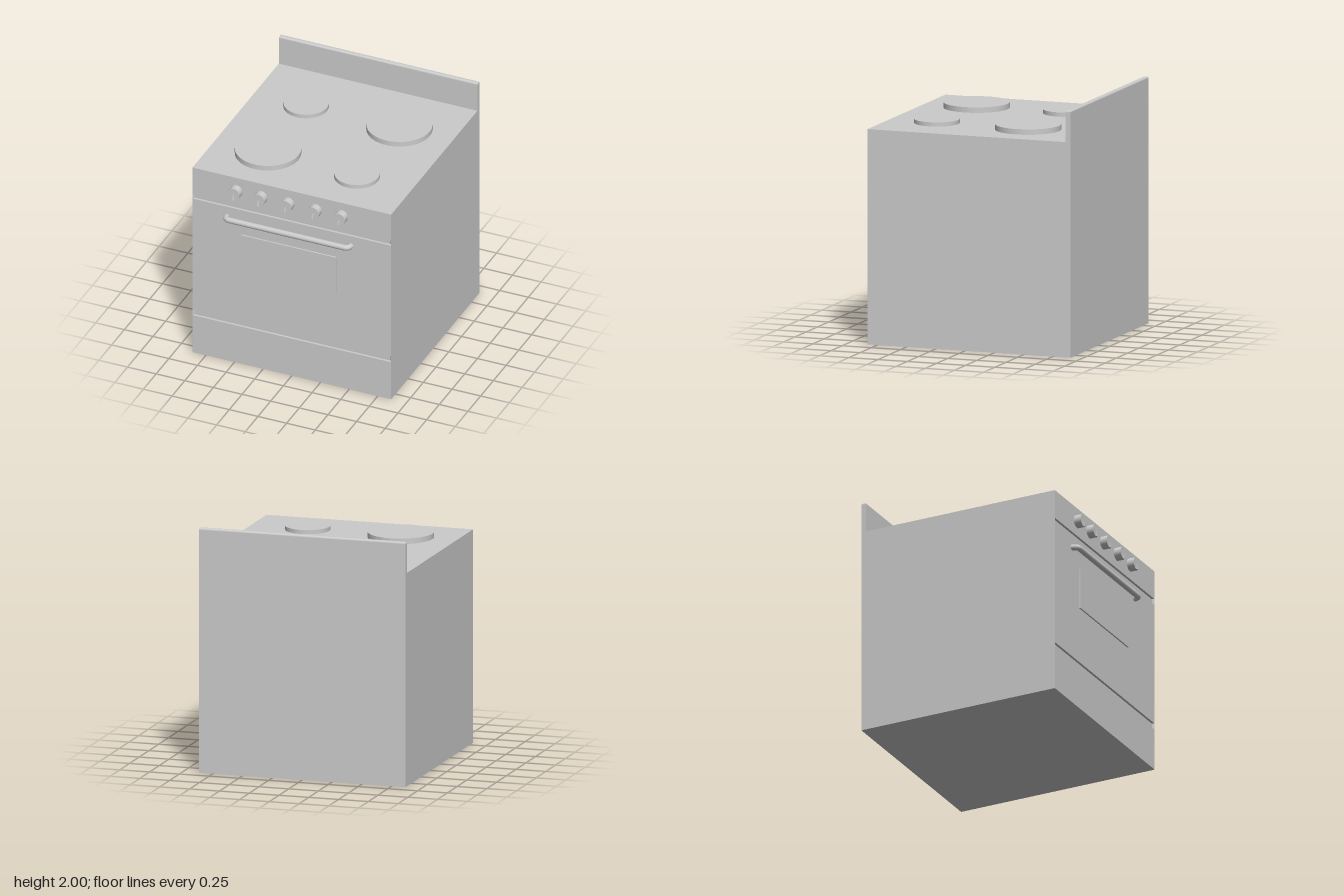
import * as THREE from 'three';

export function createModel() {
  const group = new THREE.Group();
  const material = new THREE.MeshStandardMaterial({ color: 0xcccccc });
  const HALF = 0.867, FRONT = 0.835, BACK = -0.903, TOP = 1.743;
  const GROOVES = [[0.35, 0.405], [1.45, 1.5]], DEPTH = 0.02;

  const add = (name, geometry, x = 0, y = 0, z = 0, parent = group) => {
    const mesh = new THREE.Mesh(geometry, material);
    mesh.name = name;
    mesh.position.set(x, y, z);
    parent.add(mesh);
    return mesh;
  };
  const polygon = (points) => new THREE.Shape(points.map(([x, y]) => new THREE.Vector2(x, y)));
  // extrudes a (z, y) outline across x, centred
  const extrudeAcross = (points, width) =>
    new THREE.ExtrudeGeometry(polygon(points), { depth: width, bevelEnabled: false })
      .rotateY(-Math.PI / 2).translate(width / 2, 0, 0);

  // body: side outline with two grooves cut into the front
  const outline = [[BACK, 0], [FRONT, 0]];
  for (const [low, high] of GROOVES) {
    outline.push([FRONT, low], [FRONT - DEPTH, low], [FRONT - DEPTH, high], [FRONT, high]);
  }
  outline.push([FRONT, TOP], [BACK, TOP]);
  add('body', extrudeAcross(outline, HALF * 2));

  // slanted stops closing the groove ends
  for (const [low, high] of GROOVES) {
    for (const side of [-1, 1]) {
      const wedge = polygon([
        [side * HALF, -FRONT],
        [side * HALF, DEPTH - FRONT],
        [side * (HALF - 0.012), DEPTH - FRONT],
      ]);
      add('grooveEnd', new THREE.ExtrudeGeometry(wedge, { depth: high - low, bevelEnabled: false })
        .rotateX(-Math.PI / 2), 0, low, 0);
    }
  }

  // backguard: upright panel whose top edges are rounded over
  const thick = 0.042, radius = 0.016, rows = 7;
  const guard = new THREE.BoxGeometry(HALF * 2, 1, thick, 1, rows, 1);
  const pos = guard.attributes.position;
  for (let i = 0; i < pos.count; i++) {
    const row = Math.round((pos.getY(i) + 0.5) * rows);
    const angle = Math.max(row - 1, 0) / (rows - 1) * Math.PI / 2;
    const inset = radius * (1 - Math.cos(angle));
    const y = row === 0 ? TOP : 2 - radius + radius * Math.sin(angle);
    pos.setXYZ(i, Math.sign(pos.getX(i)) * (HALF - inset), y,
      Math.sign(pos.getZ(i)) * (thick / 2 - inset));
  }
  guard.computeVertexNormals();
  add('backguard', guard, 0, 0, BACK + thick / 2);

  // hotplates
  const plates = [
    [-0.41, -0.37, 0.183, 0.034], [0.408, -0.363, 0.266, 0.044],
    [-0.405, 0.39, 0.266, 0.044], [0.387, 0.425, 0.183, 0.034],
  ];
  for (const [x, z, r, h] of plates) {
    add('hotplate', new THREE.CylinderGeometry(r, r, h, 32), x, TOP + h / 2, z);
  }

  // control knobs, each with a tapered pointer on the lower half
  const pointer = [[0.05, 0.004], [0.06, 0.004], [0.07, -0.052], [0.05, -0.052]];
  for (const x of [-0.483, -0.265, -0.03, 0.21, 0.437]) {
    const knob = new THREE.Group();
    knob.name = 'knob';
    knob.position.set(x, 1.622, FRONT);
    add('knobDial', new THREE.CylinderGeometry(0.053, 0.053, 0.061, 32).rotateX(Math.PI / 2),
      0, 0, 0.0305, knob);
    add('knobPointer', extrudeAcross(pointer, 0.015), 0, 0, 0, knob);
    group.add(knob);
  }

  // door handle: bar bending back into the door at both ends
  const path = new THREE.CurvePath();
  const p = (x, z) => new THREE.Vector3(x, 0, z);
  const end = 0.542, barZ = 0.046, bend = 0.045;
  path.add(new THREE.QuadraticBezierCurve3(p(-end, -0.005), p(-end, barZ), p(-end + bend, barZ)));
  path.add(new THREE.LineCurve3(p(-end + bend, barZ), p(end - bend, barZ)));
  path.add(new THREE.QuadraticBezierCurve3(p(end - bend, barZ), p(end, barZ), p(end, -0.005)));
  add('doorHandle', new THREE.TubeGeometry(path, 160, 0.024, 14), -0.025, 1.36, FRONT);

  // oven window
  add('ovenWindow', new THREE.BoxGeometry(0.836, 0.344, 0.02), -0.026, 1.05, FRONT + 0.003);

  return group;
}
